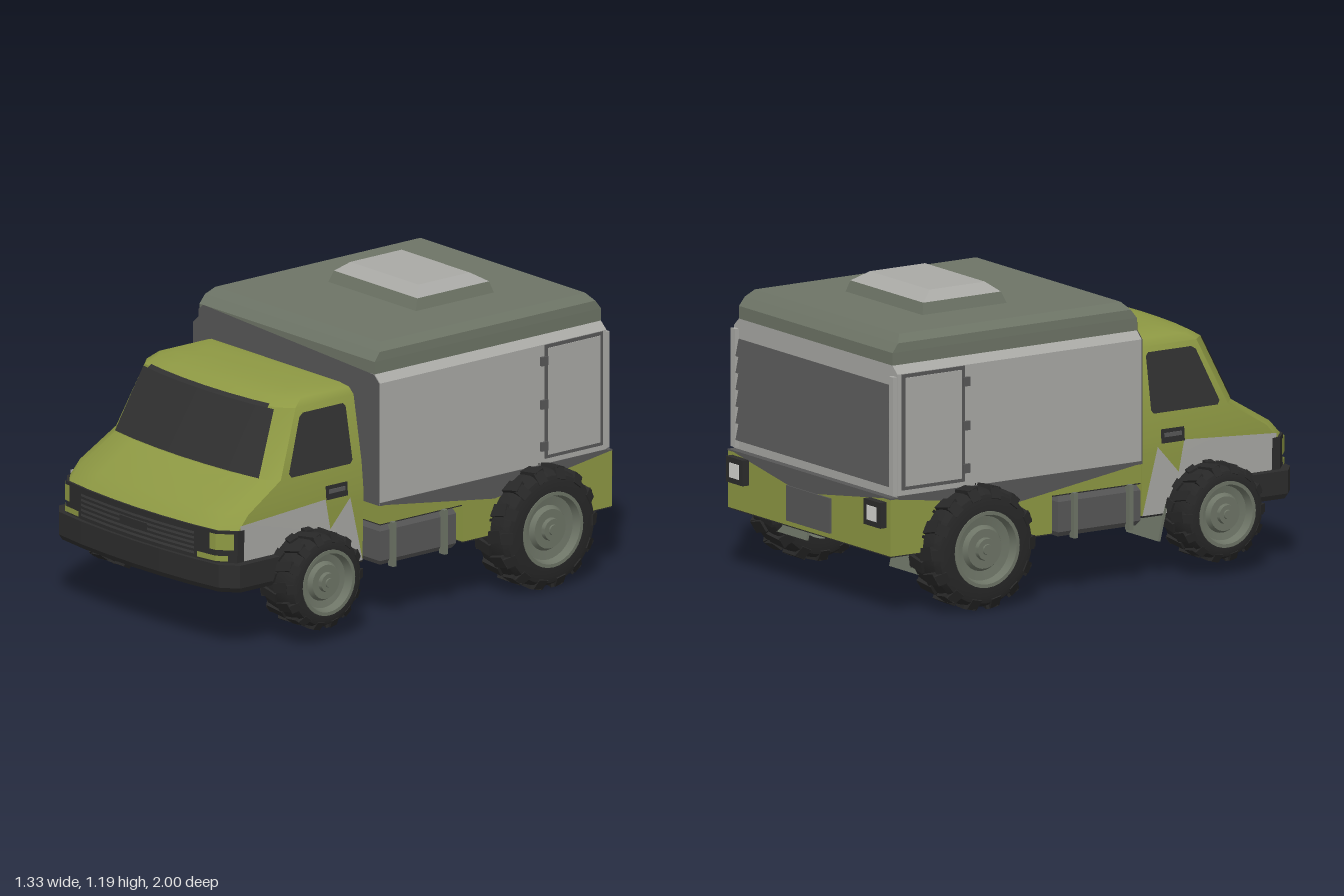
import * as THREE from 'three';
import { mergeGeometries, toCreasedNormals } from 'three/addons/utils/BufferGeometryUtils.js';

const mat = (name, color, side = THREE.FrontSide) => {
  const m = new THREE.MeshStandardMaterial({ color, side });
  m.name = name;
  return m;
};
const D = THREE.DoubleSide;
const green = mat('olive green', 0x8d9843, D);
const pale = mat('pale grey', 0xa9a9a5, D);
const grey = mat('dark grey', 0x575757, D);
const moss = mat('moss grey', 0x6d7466, D);
const black = mat('black trim', 0x2c2c2c, D);
const glass = mat('dark glass', 0x313131, D);
const rubber = mat('rubber', 0x272727);
const slatGrey = mat('grille grey', 0x3d3d3d, D);
const white = mat('lamp white', 0xd6d6d2, D);

function add(parent, name, geo, material) {
  const m = new THREE.Mesh(geo, material);
  m.name = name;
  parent.add(m);
  return m;
}
// box given by its limits
function box(parent, name, x0, x1, y0, y1, z0, z1, material) {
  const g = new THREE.BoxGeometry(x1 - x0, y1 - y0, z1 - z0);
  g.translate((x0 + x1) / 2, (y0 + y1) / 2, (z0 + z1) / 2);
  return add(parent, name, g, material);
}
function fromTriangles(pos, crease) {
  const g = new THREE.BufferGeometry();
  g.setAttribute('position', new THREE.Float32BufferAttribute(pos.flat(), 3));
  g.computeVertexNormals();
  return crease ? toCreasedNormals(g, crease) : g;
}
// closed loft through rings that run anticlockwise seen from above
function loft(rings, crease) {
  const pos = [], n = rings[0].length;
  for (let k = 0; k + 1 < rings.length; k++)
    for (let i = 0; i < n; i++) {
      const j = (i + 1) % n, a = rings[k], b = rings[k + 1];
      pos.push(a[i], a[j], b[j], a[i], b[j], b[i]);
    }
  const lo = rings[0], hi = rings[rings.length - 1];
  for (let i = 1; i + 1 < n; i++) pos.push(lo[0], lo[i + 1], lo[i], hi[0], hi[i], hi[i + 1]);
  return fromTriangles(pos, crease);
}
const rect = ([y, x, zb, zf]) => [[-x, y, zf], [x, y, zf], [x, y, zb], [-x, y, zb]];
const rectLoft = (levels) => loft(levels.map(rect));
// profile in (z, y) swept across the width
function sweep(pts, halfWidth) {
  const g = new THREE.ExtrudeGeometry(new THREE.Shape(pts.map(p => new THREE.Vector2(...p))),
    { depth: halfWidth * 2, bevelEnabled: false });
  return g.translate(0, 0, -halfWidth).rotateY(-Math.PI / 2);
}
// flat polygon whose 2D points are placed in space by a rule
function panel(pts, place) {
  const g = new THREE.ShapeGeometry(new THREE.Shape(pts.map(p => new THREE.Vector2(...p))));
  const p = g.attributes.position;
  for (let i = 0; i < p.count; i++) p.setXYZ(i, ...place(p.getX(i), p.getY(i)));
  g.computeVertexNormals();
  return g;
}

// bowed front outline: position across the width and how far it falls back
const U = [-1, -0.88, -0.6, -0.3, 0, 0.3, 0.6, 0.88, 1];
const DROP = [0.09, 0.035, 0.015, 0.004, 0, 0.004, 0.015, 0.035, 0.09];
function drop(u) {
  let i = 0;
  while (i < U.length - 2 && u > U[i + 1]) i++;
  return THREE.MathUtils.lerp(DROP[i], DROP[i + 1], (u - U[i]) / (U[i + 1] - U[i]));
}
const bowRing = (y, w, zf, zb) =>
  [...U.map((u, i) => [u * w, y, zf - DROP[i]]), [w, y, zb], [-w, y, zb]];

// cab levels: y, half width, front z, back z
const CAB = [[0.25, 0.5, 0.94, 0.25], [0.49, 0.507, 0.975, 0.25], [0.545, 0.506, 0.925, 0.25],
  [0.65, 0.495, 0.75, 0.25], [0.91, 0.447, 0.635, 0.25], [0.937, 0.425, 0.59, 0.255],
  [0.951, 0.385, 0.53, 0.27], [0.957, 0.3, 0.46, 0.3]];
function cabAt(y) {
  let i = 0;
  while (i < CAB.length - 2 && y > CAB[i + 1][0]) i++;
  const a = CAB[i], b = CAB[i + 1], t = (y - a[0]) / (b[0] - a[0]);
  return a.map((v, k) => v + (b[k] - v) * t);
}
// thin plate that follows the bowed front between two heights
function frontPlate(u0, u1, y0, y1, at, offset) {
  const us = [u0, ...U.filter(u => u > u0 + 0.01 && u < u1 - 0.01), u1], pos = [];
  const pt = (u, y) => { const [, w, zf] = at(y); return [u * (w + offset * 0.5), y, zf - drop(u) + offset]; };
  for (let i = 0; i + 1 < us.length; i++) {
    const a = pt(us[i], y0), b = pt(us[i + 1], y0), c = pt(us[i + 1], y1), d = pt(us[i], y1);
    pos.push(a, b, c, a, c, d);
  }
  return fromTriangles(pos, 0.5);
}

function makeCab() {
  const cab = new THREE.Group();
  cab.name = 'cab';
  add(cab, 'cabShell', loft(CAB.map(l => bowRing(...l)), 0.6), green);
  add(cab, 'cabFloor', loft([bowRing(0.244, 0.5, 0.94, 0.25), bowRing(0.252, 0.502, 0.94, 0.248)]), black);
  add(cab, 'windshield', frontPlate(-0.87, 0.87, 0.655, 0.905, cabAt, 0.006), glass);
  add(cab, 'windshieldTop', frontPlate(-0.8, 0.8, 0.905, 0.918, cabAt, 0.007), glass);
  // dark nose with grille and lamps
  add(cab, 'nose', loft([bowRing(0.35, 0.51, 0.985, 0.86), bowRing(0.49, 0.512, 0.985, 0.86)]), black);
  add(cab, 'bumper', loft([bowRing(0.25, 0.535, 0.99, 0.7), bowRing(0.27, 0.545, 1, 0.7),
    bowRing(0.362, 0.545, 1, 0.7)]), black);
  const nose = () => [0, 0.512, 0.985];
  for (let i = 0; i < 5; i++)
    add(cab, 'grilleSlat', frontPlate(-0.66, 0.66, 0.378 + i * 0.02, 0.388 + i * 0.02, nose, 0.005), slatGrey);
  add(cab, 'grillePlate', frontPlate(-0.16, 0.16, 0.41, 0.445, nose, 0.009), black);
  for (const s of [-1, 1]) {
    const span = (a, b) => s > 0 ? [a, b] : [-b, -a];
    add(cab, 'headlight', frontPlate(...span(0.82, 0.985), 0.415, 0.48, nose, 0.006), green);
    add(cab, 'indicator', frontPlate(...span(0.69, 0.95), 0.37, 0.392, nose, 0.006), green);
    const onSide = (off) => (z, y) => [s * (cabAt(y)[1] + off), y, z];
    add(cab, 'sideWindow', panel([[0.61, 0.652], [0.31, 0.652], [0.298, 0.665], [0.3, 0.875], [0.312, 0.888],
      [0.515, 0.888], [0.535, 0.875], [0.62, 0.668]], onSide(0.005)), glass);
    add(cab, 'sidePaint', panel([[0.88, 0.508], [0.445, 0.535], [0.42, 0.41], [0.32, 0.52], [0.252, 0.252],
      [0.84, 0.252], [0.865, 0.4]], onSide(0.004)), pale);
    add(cab, 'doorHandle', panel([[0.445, 0.532], [0.335, 0.532], [0.335, 0.588], [0.445, 0.588]], onSide(0.008)), black);
    box(cab, 'handleBar', s * 0.508 - 0.008, s * 0.508 + 0.008, 0.556, 0.572, 0.35, 0.43, grey);
  }
  return cab;
}

function makeCargo() {
  const cargo = new THREE.Group();
  cargo.name = 'cargoBox';
  add(cargo, 'boxWalls', rectLoft([[0.475, 0.56, -0.94, 0.21], [0.97, 0.56, -0.94, 0.21], [1, 0.527, -0.94, 0.21]]), pale);
  add(cargo, 'roof', rectLoft([[1, 0.527, -0.94, 0.21], [1.05, 0.527, -0.94, 0.21],
    [1.085, 0.525, -0.913, 0.183], [1.115, 0.495, -0.887, 0.155]]), moss);
  add(cargo, 'hatchBase', rectLoft([[1.11, 0.265, -0.62, -0.22], [1.16, 0.25, -0.605, -0.24]]), moss);
  add(cargo, 'hatchCap', rectLoft([[1.16, 0.25, -0.605, -0.24], [1.197, 0.205, -0.545, -0.285]]), pale);
  add(cargo, 'frontPaint', panel([[-0.56, 0.475], [0.56, 0.475], [0.56, 0.97], [0.527, 1], [-0.5, 1.052],
    [-0.527, 1.03], [-0.527, 1], [-0.56, 0.97]], (x, y) => [x, y, 0.214]), grey);
  // overlapping rear shutter slats
  const saw = [[-0.935, 0.52]], n = 6, h = 0.4 / n;
  for (let i = 0; i < n; i++) saw.push([-0.958, 0.52 + i * h], [-0.943, 0.52 + (i + 1) * h]);
  saw.push([-0.935, 0.92]);
  add(cargo, 'rearShutter', sweep(saw, 0.525), grey);
  for (const s of [-1, 1]) {
    box(cargo, 'shutterRail', s * 0.542 - 0.015, s * 0.542 + 0.015, 0.49, 0.96, -0.958, -0.938, pale);
    const slab = (name, t, z0, z1, y0, y1, m) =>
      box(cargo, name, s * 0.56 - t, s * 0.56 + t, y0, y1, z0, z1, m);
    slab('bottomSeal', 0.003, -0.94, 0.21, 0.475, 0.487, grey);
    slab('doorFrame', 0.004, -0.92, -0.625, 0.508, 0.968, grey);
    slab('doorPanel', 0.007, -0.905, -0.64, 0.522, 0.954, pale);
    for (const y of [0.56, 0.73, 0.905]) slab('doorHinge', 0.011, -0.635, -0.603, y - 0.018, y + 0.018, grey);
  }
  return cargo;
}

function makeChassis() {
  const c = new THREE.Group();
  c.name = 'chassis';
  add(c, 'skirt', sweep([[0.21, 0.478], [0.21, 0.4], [-0.21, 0.4], [-0.21, 0.25], [-0.97, 0.25], [-0.97, 0.478]], 0.558), green);
  box(c, 'rearFloor', -0.556, 0.556, 0.245, 0.252, -0.968, -0.213, black);
  box(c, 'midFloor', -0.556, 0.556, 0.395, 0.402, -0.212, 0.208, black);
  box(c, 'deckLip', -0.559, 0.559, 0.475, 0.481, -0.971, -0.94, grey);
  add(c, 'rearPaint', panel([[-0.53, 0.478], [0.53, 0.478], [0.05, 0.395]], (x, y) => [x, y, -0.973]), grey);
  box(c, 'rearPlate', -0.15, 0.15, 0.27, 0.41, -0.978, -0.965, grey);
  for (const s of [-1, 1]) {
    add(c, 'skirtPaint', panel([[0.21, 0.478], [-0.37, 0.395], [-0.97, 0.478]], (z, y) => [s * 0.561, y, z]), grey);
    const side = (name, x0, x1, ...r) => box(c, name, Math.min(s * x0, s * x1), Math.max(s * x0, s * x1), ...r);
    side('lampHousing', 0.415, 0.53, 0.36, 0.462, -1, -0.965, black);
    side('lampLens', 0.44, 0.505, 0.382, 0.44, -1.003, -0.995, white);
    // side locker with straps
    const locker = rectLoft([[0.23, 0.075, -0.17, 0.195], [0.25, 0.09, -0.18, 0.207], [0.37, 0.09, -0.18, 0.207],
      [0.395, 0.075, -0.17, 0.195]]);
    add(c, 'sideLocker', locker, grey).position.x = s * 0.465;
    for (const z of [0.15, -0.11]) side('lockerStrap', 0.545, 0.577, 0.222, 0.402, z - 0.009, z + 0.009, moss);
    // tilted mud flaps behind each wheel
    for (const z of [0.35, -0.765]) {
      const flap = add(c, 'mudFlap', new THREE.BoxGeometry(0.22, 0.17, 0.012), moss);
      flap.position.set(s * 0.395, 0.225, z);
      flap.rotation.x = 0.24;
    }
  }
  return c;
}

function makeWheel(R, rim, h) {
  const w = new THREE.Group();
  const turn = (pts) => toCreasedNormals(
    new THREE.LatheGeometry(pts.map(p => new THREE.Vector2(...p)), 32).rotateZ(-Math.PI / 2), 0.5);
  const half = [[rim, h], [R * 0.78, h], [R * 0.88, h * 0.92], [R * 0.94, h * 0.7], [R * 0.955, h * 0.3]];
  add(w, 'tire', turn([...half.map(([r, y]) => [r, -y]), ...half.slice().reverse()]), rubber);
  // staggered tread blocks with shoulder blocks
  const lugs = [], n = 14;
  for (const s of [-1, 1])
    for (let i = 0; i < n; i++) {
      const a = (i + (s > 0 ? 0.5 : 0)) / n * Math.PI * 2;
      const tread = new THREE.BoxGeometry(h * 0.78, R * 0.07, R * 0.2)
        .rotateY(s * 0.25).translate(s * h * 0.36, R * 0.962, 0);
      const shoulder = new THREE.BoxGeometry(h * 0.3, R * 0.2, R * 0.18)
        .rotateZ(s * 0.55).translate(s * h * 0.76, R * 0.875, 0);
      lugs.push(tread.rotateX(a), shoulder.rotateX(a));
    }
  add(w, 'treadBlocks', mergeGeometries(lugs), rubber);
  add(w, 'rim', turn([[0, -h + 0.03], [rim - 0.01, -h + 0.03], [rim, -h - 0.002], [rim, h + 0.004], [rim - 0.014, h + 0.004],
    [rim - 0.024, h - 0.03], [rim * 0.6, h - 0.035], [rim * 0.52, h - 0.015], [rim * 0.3, h - 0.015],
    [rim * 0.28, h + 0.002], [rim * 0.14, h + 0.002], [rim * 0.13, h + 0.008], [0, h + 0.008]]), moss);
  return w;
}

export function createModel() {
  const truck = new THREE.Group();
  truck.name = 'truck';
  truck.add(makeCab(), makeCargo(), makeChassis());
  for (const s of [-1, 1])
    for (const [name, z, R, rim, x] of [['frontWheel', 0.55, 0.193, 0.132, 0.548], ['rearWheel', -0.585, 0.246, 0.152, 0.553]]) {
      const wheel = makeWheel(R, rim, 0.104);
      wheel.name = name;
      wheel.position.set(s * x, 0.25, z);
      if (s < 0) wheel.rotation.y = Math.PI;
      truck.add(wheel);
    }
  return truck;
}
